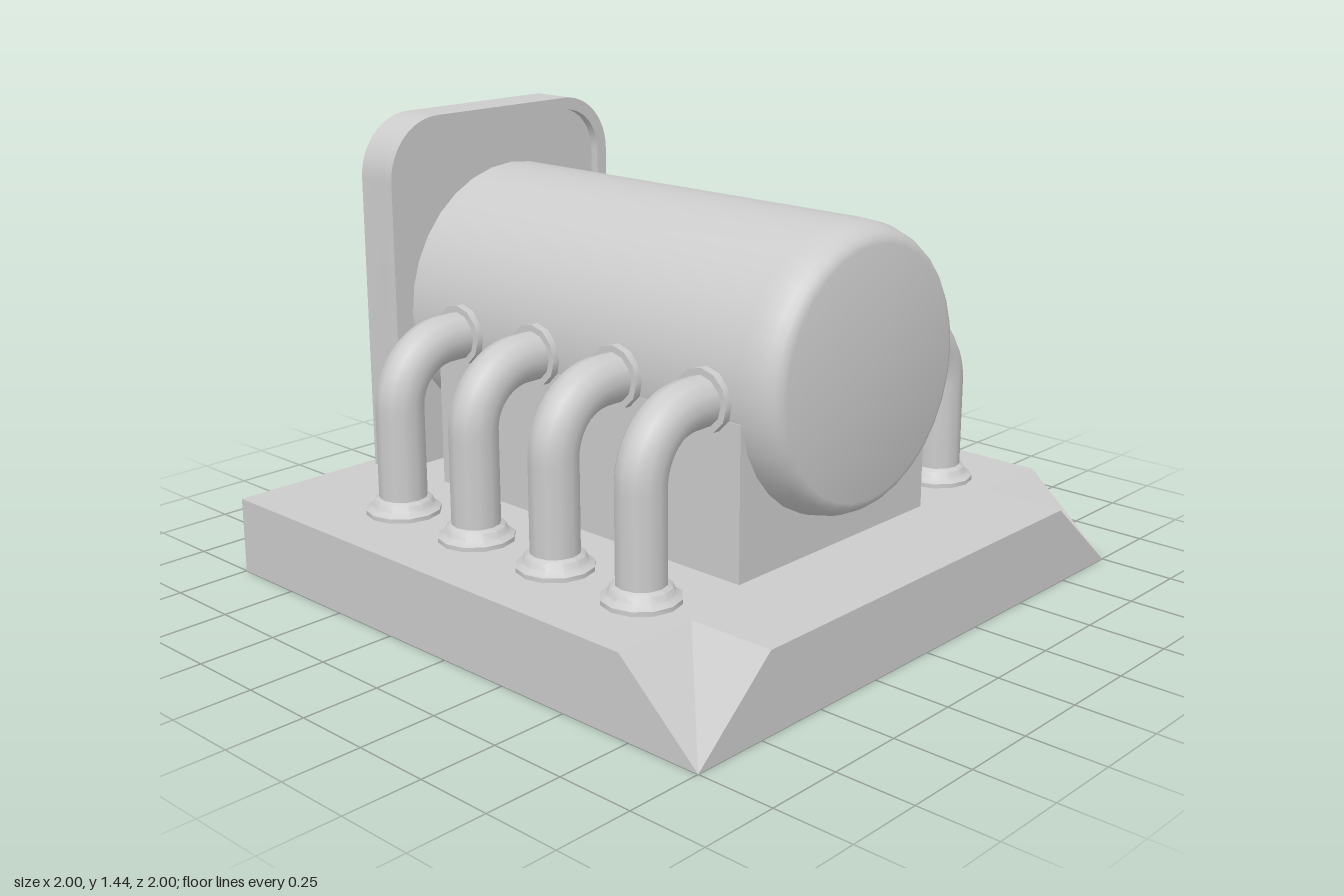
import * as THREE from 'three';
import { toCreasedNormals } from 'three/addons/utils/BufferGeometryUtils.js';

const material = new THREE.MeshStandardMaterial({ color: 0xcccccc });
const FLOOR = 0.25; // top of the base slab

function part(name, geometry, x = 0, y = 0, z = 0) {
  const mesh = new THREE.Mesh(geometry, material);
  mesh.name = name;
  mesh.position.set(x, y, z);
  return mesh;
}

function lathe(points, segments) {
  const profile = points.map(([r, h]) => new THREE.Vector2(r, h));
  return toCreasedNormals(new THREE.LatheGeometry(profile, segments), 0.7);
}

// Slab whose two +x top corners are pulled down to the ground
function baseGeometry() {
  const h = FLOOR, c = 0.715;
  const faces = [
    [[-1, 0, -1], [1, 0, -1], [1, 0, 1], [-1, 0, 1]],
    [[-1, 0, -1], [-1, 0, 1], [-1, h, 1], [-1, h, -1]],
    [[-1, h, 1], [c, h, 1], [c, h, -1], [-1, h, -1]],
    [[c, h, c], [1, h, c], [1, h, -c], [c, h, -c]],
    [[1, 0, 1], [1, 0, -1], [1, h, -c], [1, h, c]],
  ];
  for (const s of [1, -1]) {
    const sideFaces = [
      [[-1, 0, s], [1, 0, s], [c, h, s], [-1, h, s]],
      [[c, h, s], [1, 0, s], [c, h, s * c]],
      [[c, h, s * c], [1, 0, s], [1, h, s * c]],
    ];
    for (const f of sideFaces) faces.push(s > 0 ? f : f.reverse());
  }
  const positions = [];
  for (const f of faces) {
    for (let i = 1; i < f.length - 1; i++) positions.push(...f[0], ...f[i], ...f[i + 1]);
  }
  const geometry = new THREE.BufferGeometry();
  geometry.setAttribute('position', new THREE.Float32BufferAttribute(positions, 3));
  geometry.computeVertexNormals();
  return geometry;
}

// Upright outline with rounded top corners
function archOutline(target, halfWidth, top, radius) {
  target.moveTo(-halfWidth, FLOOR);
  target.lineTo(halfWidth, FLOOR);
  target.lineTo(halfWidth, top - radius);
  target.absarc(halfWidth - radius, top - radius, radius, 0, Math.PI / 2);
  target.lineTo(radius - halfWidth, top);
  target.absarc(radius - halfWidth, top - radius, radius, Math.PI / 2, Math.PI);
  target.closePath();
  return target;
}

// Rim: the strip between the outer and inner arch, open at the bottom
function rimOutline(halfWidth, top, radius, inset) {
  const shape = new THREE.Shape();
  const w = halfWidth - inset, t = top - inset, cx = halfWidth - radius, cy = top - radius;
  shape.moveTo(halfWidth, FLOOR);
  shape.lineTo(halfWidth, cy);
  shape.absarc(cx, cy, radius, 0, Math.PI / 2);
  shape.lineTo(-cx, top);
  shape.absarc(-cx, cy, radius, Math.PI / 2, Math.PI);
  shape.lineTo(-halfWidth, FLOOR);
  shape.lineTo(-w, FLOOR);
  shape.lineTo(-w, cy);
  shape.absarc(-cx, cy, radius - inset, Math.PI, Math.PI / 2, true);
  shape.lineTo(cx, t);
  shape.absarc(cx, cy, radius - inset, Math.PI / 2, 0, true);
  shape.lineTo(w, FLOOR);
  shape.closePath();
  return shape;
}

// Extrude a z-y outline along +x
function extrudeX(shape, depth) {
  const geometry = new THREE.ExtrudeGeometry(shape, { depth, bevelEnabled: false, curveSegments: 6 });
  return toCreasedNormals(geometry.rotateY(Math.PI / 2), 0.6);
}

// One elbow pipe on the +z side with its two collars
function makePipe() {
  const pipe = new THREE.Group();
  const y = 0.78, z = 0.71, bend = 0.19;
  const path = new THREE.CurvePath();
  const v = (py, pz) => new THREE.Vector3(0, py, pz);
  const k = bend * 0.448;
  path.add(new THREE.LineCurve3(v(y, 0.4), v(y, z - bend)));
  path.add(new THREE.CubicBezierCurve3(v(y, z - bend), v(y, z - k), v(y - k, z), v(y - bend, z)));
  path.add(new THREE.LineCurve3(v(y - bend, z), v(FLOOR, z)));
  pipe.add(part('pipe', new THREE.TubeGeometry(path, 28, 0.077, 12)));

  const flange = lathe([[0.12, 0], [0.12, 0.014], [0.1, 0.026], [0.092, 0.045], [0.076, 0.054]], 12);
  pipe.add(part('pipeFlange', flange, 0, FLOOR, z));

  const collar = lathe([[0.098, 0], [0.098, 0.035], [0.076, 0.035]], 12);
  collar.rotateX(Math.PI / 2);
  pipe.add(part('tankCollar', collar, 0, y, 0.432));
  return pipe;
}

export function createModel() {
  const model = new THREE.Group();
  model.name = 'tankOnBase';

  model.add(part('base', baseGeometry()));
  model.add(part('tankCradle', new THREE.BoxGeometry(1.3, 0.48, 0.885), 0, FLOOR + 0.24, 0));

  // Horizontal tank with one softened end
  const r = 0.447;
  const profile = [[0, -0.775], [r, -0.775], [r, 0.64]];
  for (let i = 1; i <= 6; i++) {
    const a = (i / 6) * Math.PI / 2;
    profile.push([r - 0.06 * (1 - Math.cos(a)), 0.64 + 0.13 * Math.sin(a)]);
  }
  profile.push([0, 0.77]);
  const tank = lathe(profile, 32);
  tank.rotateZ(-Math.PI / 2);
  model.add(part('tank', tank, 0, 0.807, 0));

  // End plate with a raised rim facing the tank
  const plate = new THREE.Group();
  plate.name = 'endPlate';
  plate.add(part('plateBody', extrudeX(archOutline(new THREE.Shape(), 0.488, 1.44, 0.2), 0.12), -0.96));
  plate.add(part('plateRim', extrudeX(rimOutline(0.488, 1.44, 0.2, 0.042), 0.032), -0.84));
  model.add(plate);

  // Four pipes on each side
  for (const side of [1, -1]) {
    for (let i = 0; i < 4; i++) {
      const pipe = makePipe();
      pipe.name = (side > 0 ? 'frontPipe' : 'backPipe') + (i + 1);
      pipe.position.x = -0.53 + i * 0.35;
      if (side < 0) pipe.rotation.y = Math.PI;
      model.add(pipe);
    }
  }
  return model;
}
